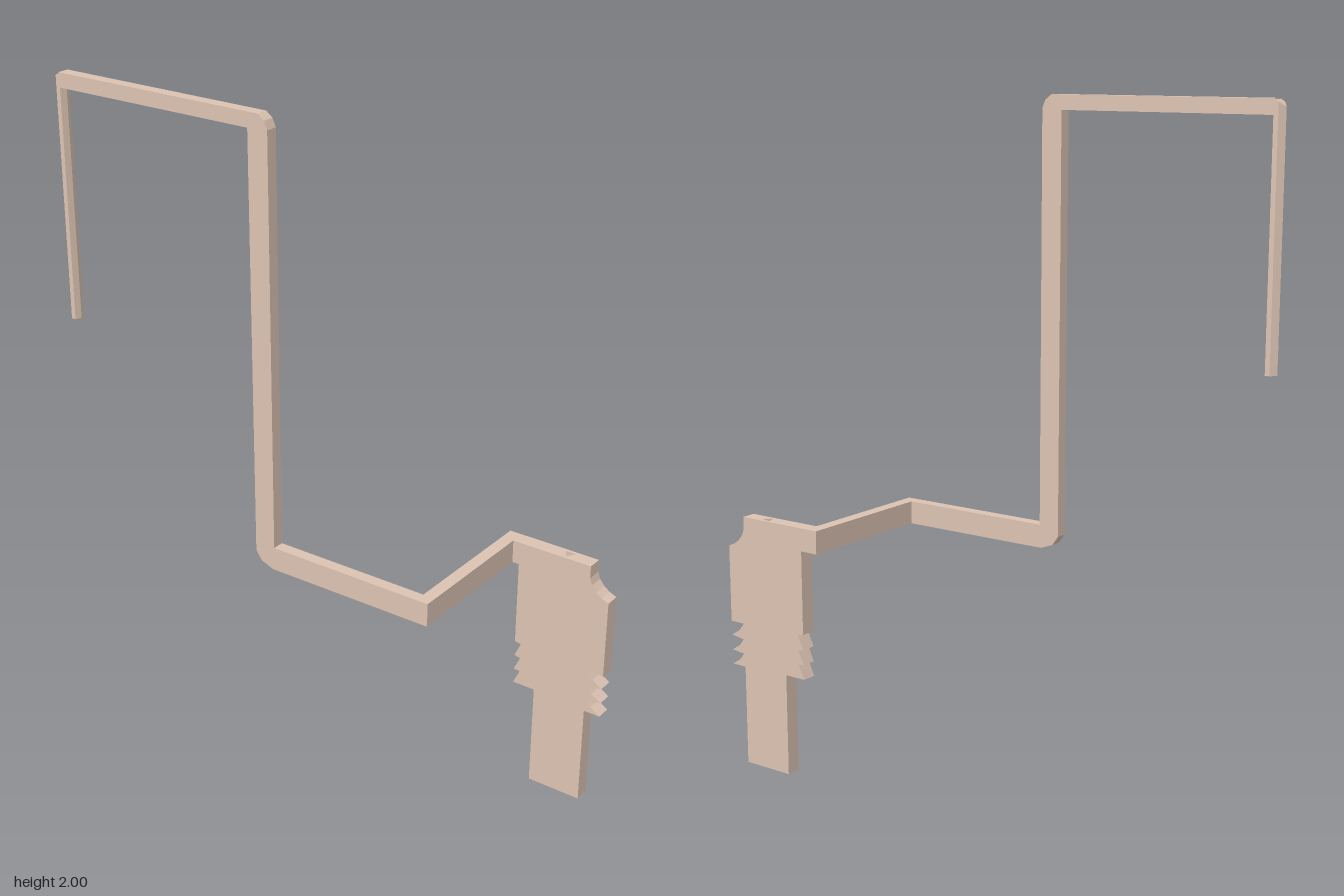
import * as THREE from 'three';
import { mergeGeometries } from 'three/addons/utils/BufferGeometryUtils.js';

const material = new THREE.MeshStandardMaterial({ color: 0xdcc3b2, flatShading: true, side: THREE.DoubleSide });

function part(name, geometry) {
  const mesh = new THREE.Mesh(geometry, material);
  mesh.name = name;
  return mesh;
}

const shapeOf = (points) => new THREE.Shape(points.map(([x, y]) => new THREE.Vector2(x, y)));

// Flat profile in x and y, extruded from z0 to z1
function slab(points, z0, z1) {
  return new THREE.ExtrudeGeometry(shapeOf(points), { depth: z1 - z0, bevelEnabled: false }).translate(0, 0, z0);
}

// Plate with a triangular bore running from its top edge to its bottom edge
function boredPlate(points, z0, z1, bore) {
  const pieces = [];
  const depth = z1 - z0;
  const front = new THREE.ShapeGeometry(shapeOf(points)).translate(0, 0, z1);
  const back = new THREE.ShapeGeometry(shapeOf(points)).rotateY(Math.PI).scale(-1, 1, 1).translate(0, 0, z0);
  pieces.push(front, back);

  const corners = [0, 1, 2].map((i) => {
    const t = (i * Math.PI * 2) / 3;
    return [bore.x + bore.r * Math.sin(t), bore.z + bore.r * Math.cos(t)];
  });
  points.forEach(([ax, ay], i) => {
    const [bx, by] = points[(i + 1) % points.length];
    const length = Math.hypot(bx - ax, by - ay);
    const along = new THREE.Vector3((bx - ax) / length, (by - ay) / length, 0);
    const wall = shapeOf([[0, 0], [length, 0], [length, depth], [0, depth]]);
    // The edges crossing the bore get its opening
    const crossesBore = ay === by && Math.min(ax, bx) < bore.x - bore.r && Math.max(ax, bx) > bore.x + bore.r
      && (ay === bore.y0 || ay === bore.y1);
    if (crossesBore) {
      wall.holes.push(new THREE.Path(corners.map(([x, z]) => new THREE.Vector2((x - ax) * along.x, z - z0))));
    }
    const zAxis = new THREE.Vector3(0, 0, 1);
    const matrix = new THREE.Matrix4()
      .makeBasis(along, zAxis, along.clone().cross(zAxis))
      .setPosition(ax, ay, z0);
    pieces.push(new THREE.ShapeGeometry(wall).applyMatrix4(matrix));
  });

  // Inner walls of the bore
  pieces.push(new THREE.CylinderGeometry(bore.r, bore.r, bore.y1 - bore.y0, 3, 1, true)
    .translate(bore.x, (bore.y0 + bore.y1) / 2, bore.z));
  return mergeGeometries(pieces);
}

export function createModel() {
  const group = new THREE.Group();
  const low = 0.703, high = 0.772;
  const frontZ = [0.203, 0.238], backZ = [-0.238, -0.193];

  // Bent arm: lower run, upright post and top bar in one profile
  group.add(part('bentArm', slab([
    [0.472, low], [-0.045, low], [-0.085, 0.718], [-0.104, 0.745],
    [-0.104, 1.958], [-0.755, 1.958], [-0.755, 2], [-0.07, 2], [-0.05, 1.985],
    [-0.04, 1.962], [-0.04, high], [0.472, high],
  ], ...frontZ)));

  // Hanging prong: six-sided rod whose top slopes down to the outside
  const midZ = (frontZ[0] + frontZ[1]) / 2;
  const prong = new THREE.ExtrudeGeometry(shapeOf([
    [-0.78, -midZ], [-0.766, -frontZ[1]], [-0.752, -frontZ[1]],
    [-0.745, -midZ], [-0.752, -frontZ[0]], [-0.766, -frontZ[0]],
  ]), { depth: 0.715, bevelEnabled: false }).rotateX(-Math.PI / 2).translate(0, 1.285, 0);
  const pos = prong.attributes.position;
  for (let i = 0; i < pos.count; i++) {
    if (pos.getY(i) > 1.9) pos.setY(i, 2 - Math.max(0, -0.755 - pos.getX(i)) * 0.85);
  }
  prong.computeVertexNormals();
  group.add(part('hangingProng', prong));

  // Cross arm running from the bent arm back to the plate
  const crossArm = new THREE.BoxGeometry(0.037, high - low, frontZ[0] - backZ[1]);
  crossArm.translate(0.4535, (low + high) / 2, (frontZ[0] + backZ[1]) / 2);
  group.add(part('crossArm', crossArm));

  // Barbed plug plate, outlined anticlockwise from the foot of the tongue
  const outline = [[0.563, 0], [0.728, 0], [0.728, 0.305]];
  // Right barbs, from the bottom up
  for (const y of [0.305, 0.35, 0.397]) {
    outline.push([0.778, y], [0.748, y + 0.02], [0.732, y + 0.04]);
  }
  outline.push([0.732, 0.44], [0.78, 0.44], [0.78, 0.675]);
  // Scooped shoulder
  outline.push([0.757, 0.685], [0.74, 0.698], [0.726, 0.715], [0.719, 0.735]);
  outline.push([0.719, high], [0.435, high], [0.435, low], [0.493, low], [0.493, 0.45]);
  // Left barbs, from the top down
  for (const y of [0.446, 0.4, 0.355]) {
    outline.push([0.513, y], [0.493, y - 0.043]);
  }
  outline.push([0.563, 0.312]);
  group.add(part('plugPlate', boredPlate(outline, ...backZ,
    { x: 0.636, z: -0.219, r: 0.0187, y0: 0, y1: high })));

  return group;
}
